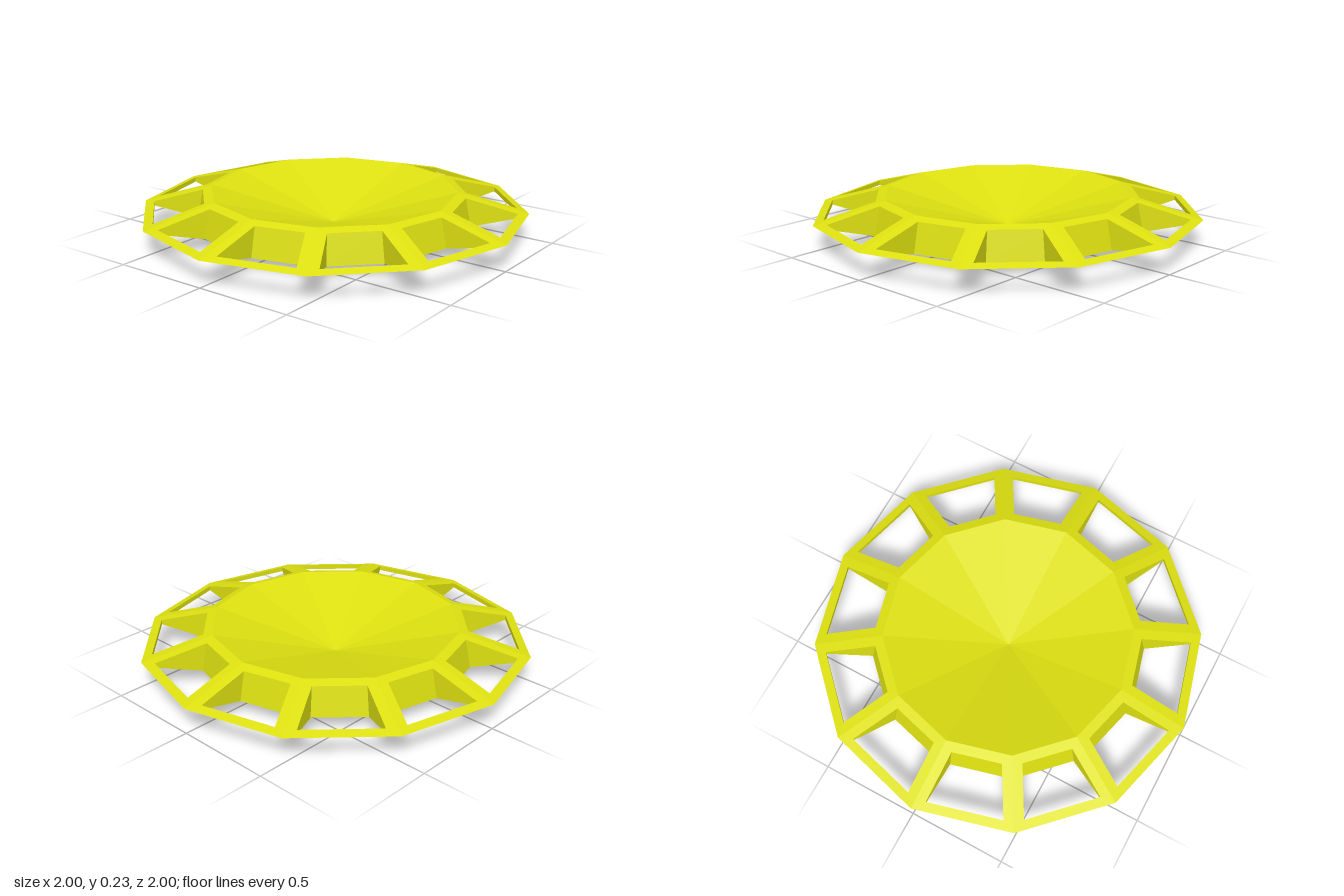
import * as THREE from 'three';

const SIDES = 12, STEP = (Math.PI * 2) / SIDES;
const RIM = { r: 1, y: 0.13 }, TOP = { r: 0.64, y: 0.23 }, BASE = { r: 0.425, y: 0 };
const SPOKE = 0.05;       // half width of a spoke
const HOLE_OUT = 0.952;   // window radius next to the rim
const APEX_Y = 0.05;      // lowest point of the sunken dish

// corner k of a 12-sided ring
const corner = (k, { r, y }) =>
  new THREE.Vector3(r * Math.cos(k * STEP), y, -r * Math.sin(k * STEP));

// point on a ring's edge, SPOKE away from the centre line of spoke k
function windowPoint(k, dir, r, inner) {
  const y = THREE.MathUtils.mapLinear(r, inner.r, RIM.r, inner.y, RIM.y);
  const u = r - SPOKE * Math.tan(STEP / 2), v = dir * SPOKE;
  const c = Math.cos(k * STEP), s = Math.sin(k * STEP);
  return new THREE.Vector3(u * c - v * s, y, -(u * s + v * c));
}

// facet outline and its window outline, counter-clockwise from above
const facet = (k, inner) =>
  [corner(k, RIM), corner(k + 1, RIM), corner(k + 1, inner), corner(k, inner)];
const opening = (k, inner, holeIn) => [
  windowPoint(k, 1, HOLE_OUT, inner), windowPoint(k + 1, -1, HOLE_OUT, inner),
  windowPoint(k + 1, -1, holeIn, inner), windowPoint(k, 1, holeIn, inner),
];

// band of quads joining two four-point loops
function band(out, a, b) {
  for (let i = 0; i < 4; i++) {
    const j = (i + 1) % 4;
    out.push(a[i], a[j], b[j], a[i], b[j], b[i]);
  }
}

export function createModel() {
  const group = new THREE.Group();
  const material = new THREE.MeshStandardMaterial({ color: 0xdde010, flatShading: true });
  const parts = { upperFrame: [], lowerFrame: [], windowWalls: [], sunkenDish: [], basePlate: [] };
  const apex = new THREE.Vector3(0, APEX_Y, 0), origin = new THREE.Vector3();

  for (let k = 0; k < SIDES; k++) {
    const upper = opening(k, TOP, 0.69), lower = opening(k, BASE, 0.72);
    // sloping shells with a window in each facet
    band(parts.upperFrame, facet(k, TOP), upper);
    band(parts.lowerFrame, lower, facet(k, BASE));
    // walls between the upper and lower window edges
    band(parts.windowWalls, upper, lower);
    // shallow cone on top, flat plate below
    parts.sunkenDish.push(apex, corner(k, TOP), corner(k + 1, TOP));
    parts.basePlate.push(origin, corner(k + 1, BASE), corner(k, BASE));
  }

  for (const [name, points] of Object.entries(parts)) {
    const geometry = new THREE.BufferGeometry().setFromPoints(points);
    geometry.computeVertexNormals();
    const mesh = new THREE.Mesh(geometry, material);
    mesh.name = name;
    group.add(mesh);
  }
  group.name = 'spokedDisc';
  return group;
}
